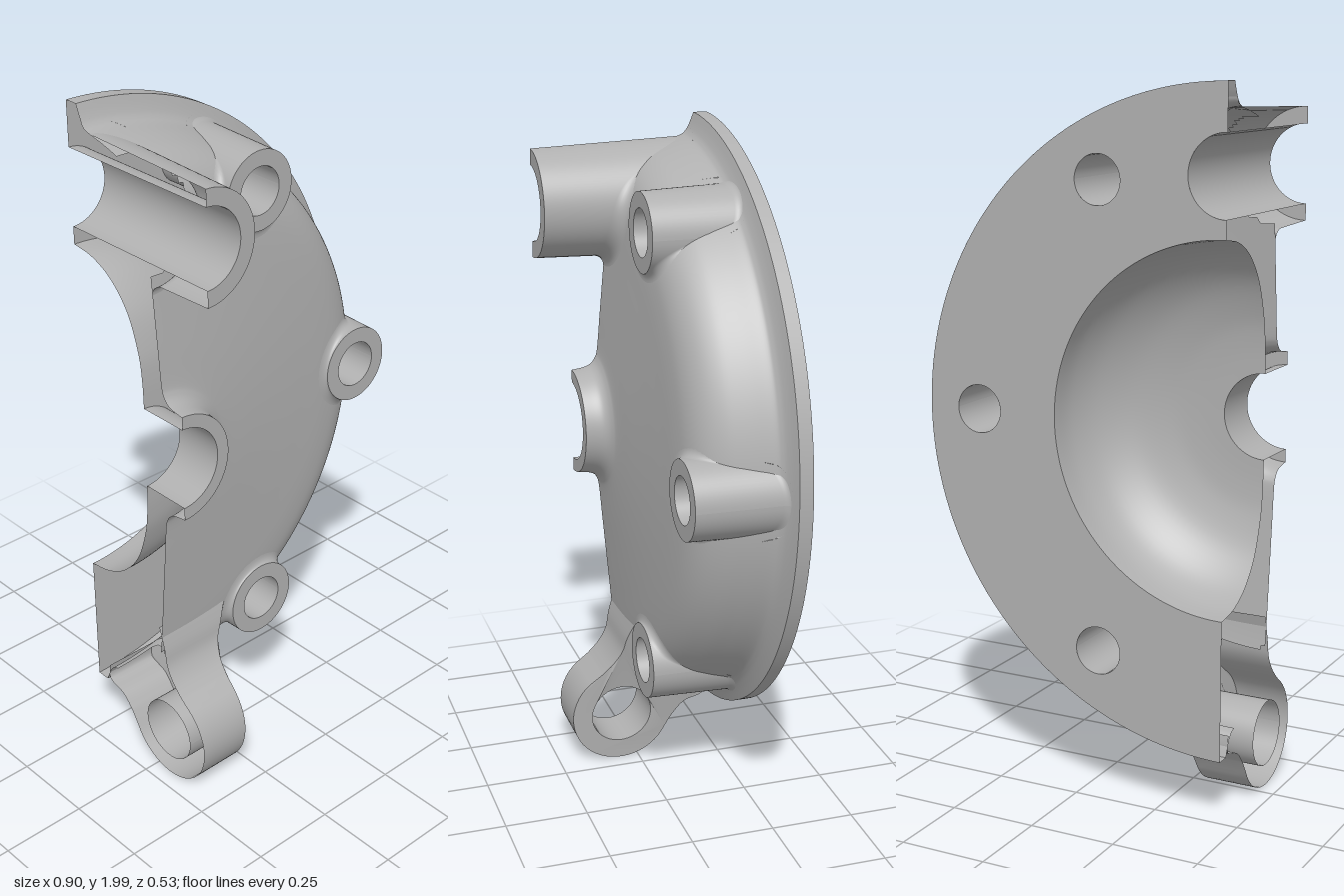
import * as THREE from 'three';

// Disc axis: the cover is half a turned part, open along the plane x = CX
const CX = -0.453, CY = 1.097, BACK = -0.265, HALF = Math.PI / 2;
const BOLT_R = 0.068, PORT_R = 0.11;
const bolts = [-1, 0, 1].map(k => [
  CX + 0.747 * Math.cos(k * Math.PI / 3), CY + 0.747 * Math.sin(k * Math.PI / 3)]);
const port = [CX, 1.765];

const spline = (pts, n) => new THREE.SplineCurve(pts.map(p => new THREE.Vector2(...p))).getPoints(n);

// Grid surface from fn(i, j) -> [x, y, z]; keep() can leave out triangles near openings
function surface(nu, nv, fn, keep) {
  const pos = [], index = [];
  for (let i = 0; i <= nu; i++) for (let j = 0; j <= nv; j++) pos.push(...fn(i, j));
  const ok = k => !keep || keep(pos[3 * k], pos[3 * k + 1], pos[3 * k + 2]);
  for (let i = 0; i < nu; i++) for (let j = 0; j < nv; j++) {
    const a = i * (nv + 1) + j, b = a + nv + 1;
    for (const t of [[a, a + 1, b], [b, a + 1, b + 1]]) if (t.every(ok)) index.push(...t);
  }
  const g = new THREE.BufferGeometry();
  g.setAttribute('position', new THREE.Float32BufferAttribute(pos, 3));
  g.setIndex(index);
  g.computeVertexNormals();
  return g;
}

// Turn a profile of (radius, z) points around an axis parallel to z
function revolve(profile, cx, cy, a0, a1, n, keep) {
  return surface(n, profile.length - 1, (i, j) => {
    const a = a0 + (a1 - a0) * i / n, p = profile[j];
    return [cx + p.x * Math.cos(a), cy + p.x * Math.sin(a), p.y];
  }, keep);
}
const line = (...pts) => pts.map(p => new THREE.Vector2(...p));

// Front of the cover, from the centre hub out to the flange
const front = spline([
  [0.158, 0.155], [0.163, 0.12], [0.172, 0.098], [0.19, 0.083], [0.22, 0.075],
  [0.32, 0.066], [0.43, 0.056], [0.54, 0.046], [0.65, 0.035], [0.72, 0.02],
  [0.77, -0.01], [0.805, -0.06], [0.825, -0.12], [0.84, -0.18], [0.853, -0.2],
  [0.875, -0.213], [0.905, -0.225]], 96);

function frontZ(r) {
  const k = front.findIndex(p => p.x >= r);
  if (k < 0) return -0.225;
  if (k === 0) return front[0].y;
  const p = front[k - 1], q = front[k];
  return p.y + (q.y - p.y) * (r - p.x) / (q.x - p.x || 1);
}

export function createModel() {
  const model = new THREE.Group();
  const metal = new THREE.MeshStandardMaterial({ color: 0xb0b0b0, side: THREE.DoubleSide });
  metal.name = 'castMetal';
  const add = (name, geometry, parent = model) => {
    const m = new THREE.Mesh(geometry, metal);
    m.name = name;
    parent.add(m);
    return m;
  };
  const half = (name, profile, keep) =>
    add(name, revolve(profile, CX, CY, -HALF, HALF, 160, keep));

  // Domed cover, left open under the bosses and inside the lug
  half('coverFront', front, (x, y, z) =>
    bolts.every(b => Math.hypot(x - b[0], y - b[1]) > 0.082) &&
    Math.hypot(x - port[0], y - port[1]) > 0.14 &&
    !(x < -0.32 && y < 0.42 && z > -0.17));
  half('flangeEdge', line([0.905, -0.225], [0.905, BACK]));
  half('hubFace', line([0.12, 0.155], [0.158, 0.155]));
  half('hubBore', line([0.12, 0], [0.12, 0.155]));
  half('cavity', spline([[0.507, BACK], [0.495, -0.19], [0.455, -0.115], [0.38, -0.052],
    [0.28, -0.015], [0.2, -0.003], [0.12, 0]], 30));

  // Flat mating face with bolt holes and half a port at the cut
  const plate = new THREE.Shape();
  const portY = port[1] - CY;
  plate.absarc(0, 0, 0.905, -HALF, HALF, false);
  plate.lineTo(0, portY + PORT_R);
  plate.absarc(0, portY, PORT_R, HALF, -HALF, true);
  plate.lineTo(0, 0.507);
  plate.absarc(0, 0, 0.507, HALF, -HALF, true);
  plate.closePath();
  for (const [x, y] of bolts) {
    plate.holes.push(new THREE.Path().absarc(x - CX, y - CY, BOLT_R, 0, 2 * Math.PI, true));
  }
  add('matingFace', new THREE.ShapeGeometry(plate, 64)).position.set(CX, CY, BACK);

  // Boss whose foot follows the cover with a fillet
  function boss(name, [cx, cy], rOut, rIn, top, fillet, a0, a1) {
    const g = new THREE.Group(), n = 64, steps = 8;
    g.name = name;
    model.add(g);
    add('bossWall', surface(n, steps + 1, (i, j) => {
      const a = a0 + (a1 - a0) * i / n, c = Math.cos(a), s = Math.sin(a);
      const foot = rOut + fillet;
      const base = frontZ(Math.hypot(cx + foot * c - CX, cy + foot * s - CY));
      const h = Math.min(fillet, Math.max(0.002, top - base - 0.002));
      const draft = 0.03 * (top - base - h);
      const t = (j - 1) / steps * HALF;
      const r = j === 0 ? rOut : rOut + draft + (fillet - draft) * (1 - Math.cos(t));
      const z = j === 0 ? top : base + h * (1 - Math.sin(t));
      return [cx + r * c, cy + r * s, z];
    }), g);
    add('bossFace', revolve(line([rIn, top], [rOut, top]), cx, cy, a0, a1, n), g);
    add('bossBore', revolve(line([rIn, BACK], [rIn, top]), cx, cy, a0, a1, n), g);
  }
  bolts.forEach((b, i) =>
    boss(['lowerBoltBoss', 'sideBoltBoss', 'upperBoltBoss'][i], b, 0.113, BOLT_R, 0.05, 0.025, 0, 2 * Math.PI));
  boss('portBoss', port, 0.157, PORT_R, 0.265, 0.04, -HALF, HALF);

  // Hinge lug: outline in (z, y), running along x from the cut
  const EZ = 0.055, EY = 0.165, ER = 0.157, HR = 0.095;
  const outline = spline([[0.03, 0.52], [0.05, 0.45], [0.06, 0.395], [0.085, 0.35], [0.12, 0.313]], 16);
  for (let i = 0; i <= 36; i++) {
    const a = (50 - 255 * i / 36) * Math.PI / 180;
    outline.push(new THREE.Vector2(EZ + ER * Math.cos(a), EY + ER * Math.sin(a)));
    if (a < -155 * Math.PI / 180) break;
  }
  outline.push(...spline([[-0.11, 0.135], [-0.15, 0.178], [-0.21, 0.2], [-0.21, 0.25]], 12));
  const sideX = y => -0.302 + 0.05 * y + Math.max(0, y - 0.25) ** 2;

  const lug = new THREE.Group();
  lug.name = 'hingeLug';
  model.add(lug);
  add('lugWall', surface(outline.length - 1, 4, (i, j) => {
    const p = outline[i];
    return [CX + (sideX(p.y) - CX) * j / 4, p.y, p.x];
  }), lug);

  const side = new THREE.Shape(outline.map(p => new THREE.Vector2(-p.x, p.y)));
  side.holes.push(new THREE.Path().absarc(-EZ, EY, HR, 0, 2 * Math.PI, true));
  const cap = new THREE.ShapeGeometry(side, 32).rotateY(HALF);
  const cp = cap.attributes.position;
  for (let i = 0; i < cp.count; i++) cp.setX(i, sideX(cp.getY(i)));
  cap.computeVertexNormals();
  add('lugSide', cap, lug);

  add('lugBore', surface(64, 1, (i, j) => {
    const a = 2 * Math.PI * i / 64, y = EY + HR * Math.sin(a);
    return [j ? sideX(y) : CX, y, EZ + HR * Math.cos(a)];
  }), lug);

  return model;
}
